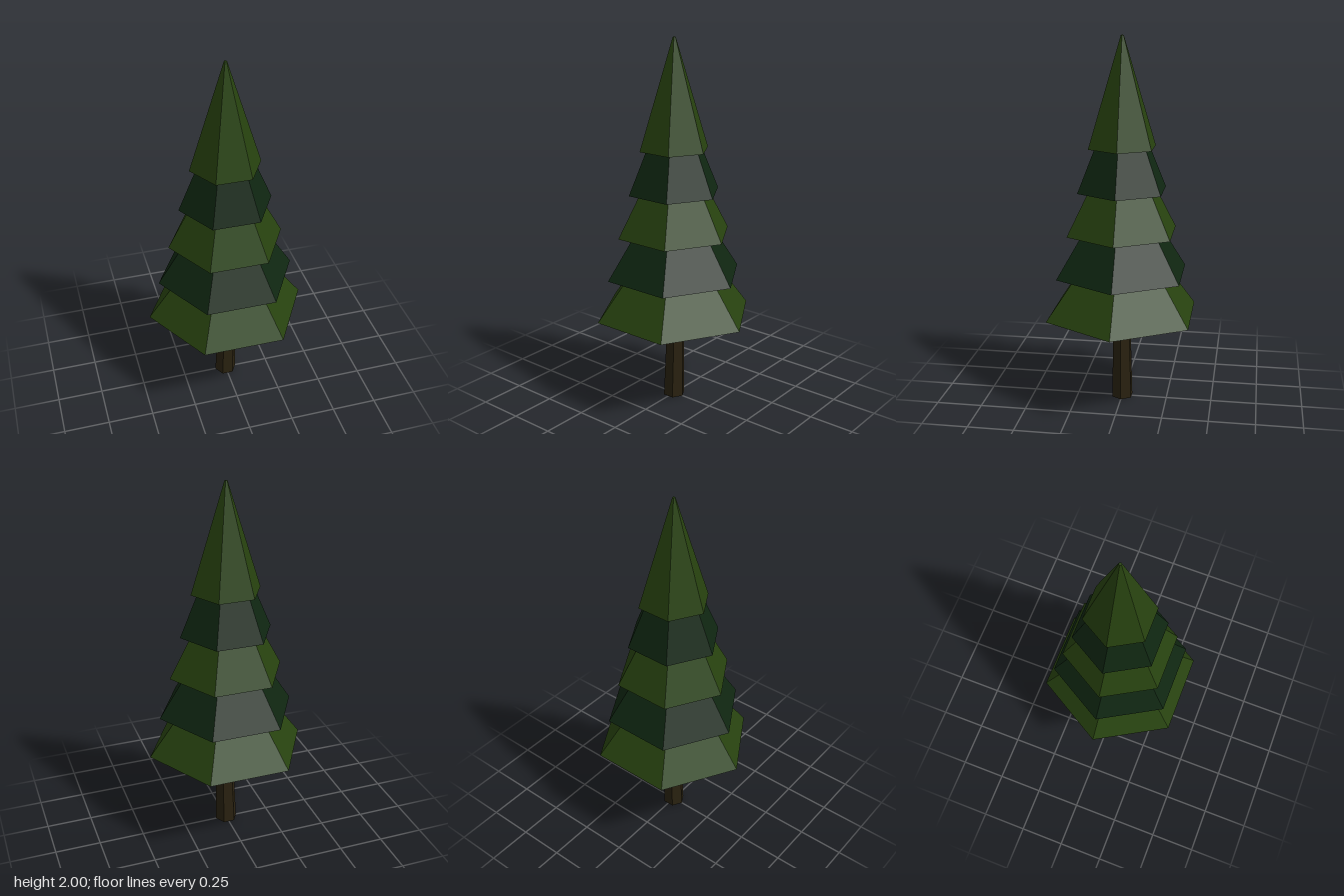
import * as THREE from 'three';

const SIDES = 6;

function flat(name, color) {
  const m = new THREE.MeshStandardMaterial({ color, flatShading: true });
  m.name = name;
  return m;
}

// Closed hexagonal frustum standing on its base, with corners on the x axis
function hexFrustum(rTop, rBottom, height) {
  return new THREE.CylinderGeometry(rTop, rBottom, height, SIDES, 1, false, Math.PI / 2)
    .translate(0, height / 2, 0);
}

export function createModel() {
  const tree = new THREE.Group();
  tree.name = 'pineTree';

  const leafGreen = flat('leafGreen', 0x27420f);
  const darkGreen = flat('darkGreen', 0x0f2611);
  const bark = flat('bark', 0x2a2210);

  // Trunk: tapered and leaning slightly to +x
  const trunkGeo = hexFrustum(0.048, 0.061, 0.55);
  trunkGeo.applyMatrix4(new THREE.Matrix4().set(
    1, 0.024, 0, -0.001,
    0, 1, 0, 0,
    0, 0, 1, 0,
    0, 0, 0, 1));
  const trunk = new THREE.Mesh(trunkGeo, bark);
  trunk.name = 'trunk';
  tree.add(trunk);

  // Five overlapping foliage tiers in alternating greens
  for (let i = 0; i < 5; i++) {
    const tier = new THREE.Mesh(
      hexFrustum(0.008, 0.44 - i * 0.062, 0.58),
      i % 2 ? darkGreen : leafGreen);
    tier.name = `foliageTier${i + 1}`;
    tier.position.y = 0.5 + i * 0.23;
    tree.add(tier);
  }
  return tree;
}
